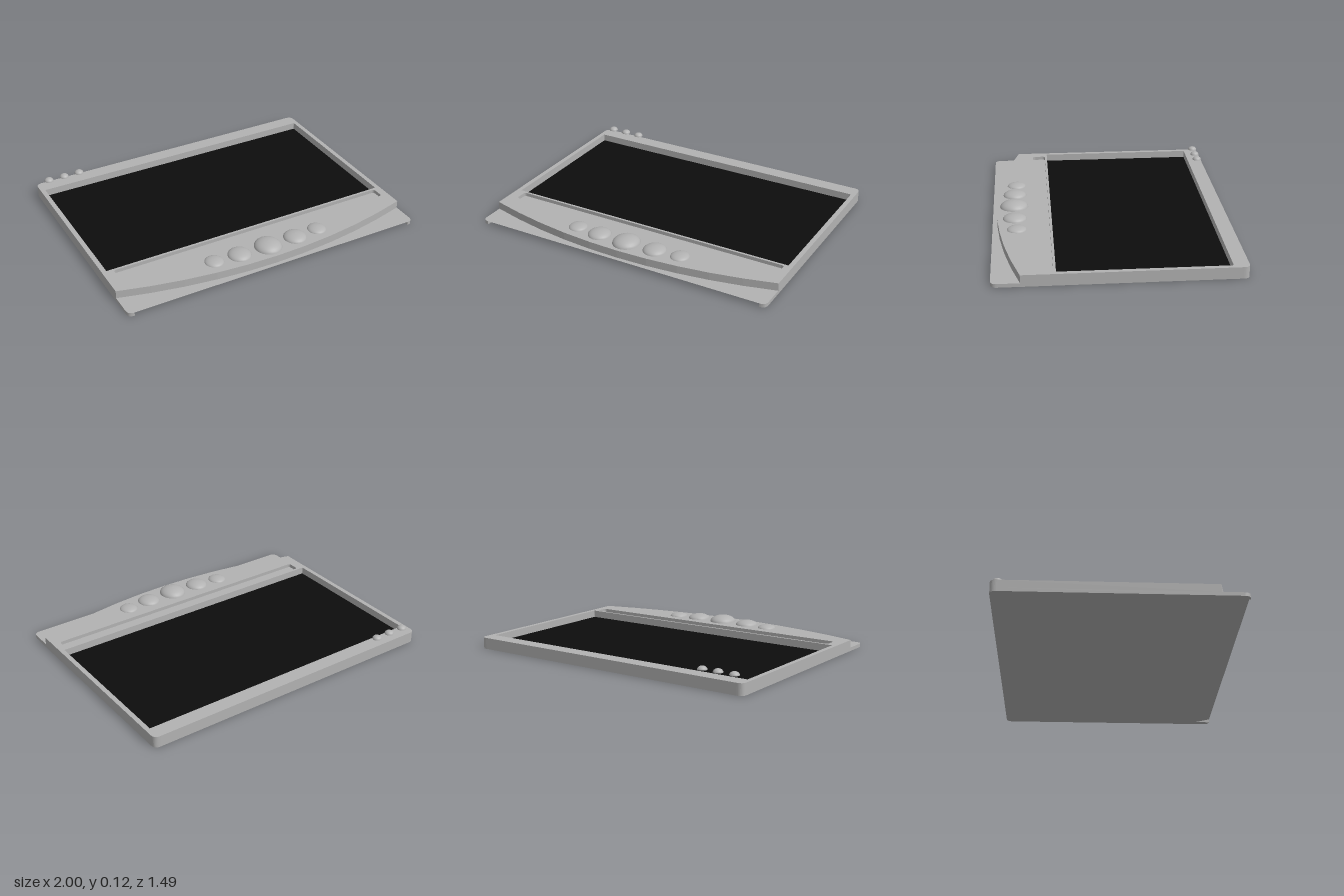
import * as THREE from 'three';

const grey = new THREE.MeshStandardMaterial({ color: 0xb2b2b2 });
grey.name = 'casing grey';
const black = new THREE.MeshStandardMaterial({ color: 0x0d0d0d });
black.name = 'screen black';

// Plan shapes use shape y = -z, and are extruded upwards from y0 to y1.
function slab(name, shape, y0, y1, material) {
  const geometry = new THREE.ExtrudeGeometry(shape, { depth: y1 - y0, bevelEnabled: false, curveSegments: 10 });
  geometry.rotateX(-Math.PI / 2);
  const mesh = new THREE.Mesh(geometry, material);
  mesh.name = name;
  mesh.position.y = y0;
  return mesh;
}

function roundedRect(path, x0, x1, z0, z1, r) {
  path.moveTo(x0 + r, -z1);
  path.lineTo(x1 - r, -z1);
  path.quadraticCurveTo(x1, -z1, x1, -z1 + r);
  path.lineTo(x1, -z0 - r);
  path.quadraticCurveTo(x1, -z0, x1 - r, -z0);
  path.lineTo(x0 + r, -z0);
  path.quadraticCurveTo(x0, -z0, x0, -z0 - r);
  path.lineTo(x0, -z1 + r);
  path.quadraticCurveTo(x0, -z1, x0 + r, -z1);
  return path;
}

// Closed dome: an elliptical cap of the given height on a flat base
function dome(name, x, y, z, rx, rz, height, segments) {
  const profile = [new THREE.Vector2(0, 0)];
  for (let i = 0; i <= 8; i++) {
    const a = (i / 8) * Math.PI / 2;
    profile.push(new THREE.Vector2(i === 8 ? 0 : Math.cos(a), Math.sin(a)));
  }
  // The base is a separate disc, so the cap keeps smooth normals
  const cap = new THREE.Mesh(new THREE.LatheGeometry(profile.slice(1), segments), grey);
  const base = new THREE.Mesh(new THREE.CircleGeometry(1, segments), grey);
  base.rotation.x = Math.PI / 2;
  cap.name = name + 'Cap';
  base.name = name + 'Base';
  const group = new THREE.Group();
  group.name = name;
  group.add(cap, base);
  group.position.set(x, y, z);
  group.scale.set(rx, height, rz);
  return group;
}

export function createModel() {
  const model = new THREE.Group();
  model.name = 'tabletDevice';
  const R = 0.04, X = 1, BACK = -0.745, FRONT = 0.745, LIP = 0.023, TOP = 0.073;

  // Base plate, notched along the front for the undercut lip
  const plan = new THREE.Shape();
  plan.moveTo(-X + R, -0.64);
  plan.lineTo(X - R, -0.64);
  plan.lineTo(X - R, -FRONT);
  plan.quadraticCurveTo(X, -FRONT, X, -FRONT + R);
  plan.lineTo(X, -BACK - R);
  plan.quadraticCurveTo(X, -BACK, X - R, -BACK);
  plan.lineTo(-X + R, -BACK);
  plan.quadraticCurveTo(-X, -BACK, -X, -BACK - R);
  plan.lineTo(-X, -FRONT + R);
  plan.quadraticCurveTo(-X, -FRONT, -X + R, -FRONT);
  model.add(slab('basePlate', plan, 0, LIP, grey));

  // Front lip, a wedge sloping back underneath
  const wedge = new THREE.Shape();
  wedge.moveTo(-0.64, 0);
  wedge.lineTo(-0.64, LIP);
  wedge.lineTo(-FRONT, LIP);
  const lipGeometry = new THREE.ExtrudeGeometry(wedge, { depth: 2 * (X - R), bevelEnabled: false });
  lipGeometry.translate(0, 0, -(X - R)).rotateY(Math.PI / 2);
  const lip = new THREE.Mesh(lipGeometry, grey);
  lip.name = 'frontLip';
  model.add(lip);

  // Upper casing with a bowed front, a screen opening and a long slot
  const casing = new THREE.Shape();
  casing.moveTo(-X, -0.575);
  casing.quadraticCurveTo(0, -0.865, X, -0.575);
  casing.lineTo(X, -BACK - R);
  casing.quadraticCurveTo(X, -BACK, X - R, -BACK);
  casing.lineTo(-X + R, -BACK);
  casing.quadraticCurveTo(-X, -BACK, -X, -BACK - R);
  casing.closePath();
  casing.holes.push(roundedRect(new THREE.Path(), -0.97, 0.97, -0.65, 0.37, 0.002));
  casing.holes.push(roundedRect(new THREE.Path(), -0.93, 0.95, 0.385, 0.47, 0.02));
  model.add(slab('upperCasing', casing, LIP, TOP, grey));

  // Recessed screen and slot floor
  model.add(slab('screen', roundedRect(new THREE.Shape(), -0.97, 0.97, -0.65, 0.37, 0.002), LIP - 0.004, LIP + 0.003, black));
  model.add(slab('slotFloor', roundedRect(new THREE.Shape(), -0.93, 0.95, 0.385, 0.47, 0.02), LIP, 0.05, grey));

  // Control buttons, shrinking outwards from the centre
  model.add(dome('centreButton', 0, TOP - 0.003, 0.607, 0.087, 0.092, 0.046, 28));
  for (const side of [-1, 1]) {
    const tag = side > 0 ? 'left' : 'right';
    model.add(dome(tag + 'InnerButton', side * 0.197, TOP - 0.003, 0.602, 0.074, 0.077, 0.034, 28));
    model.add(dome(tag + 'OuterButton', side * 0.364, TOP - 0.003, 0.59, 0.06, 0.063, 0.024, 28));
  }

  // Small raised indicator studs at the back corner
  [-0.92, -0.812, -0.706].forEach((x, i) =>
    model.add(dome('indicatorStud' + (i + 1), x, 0.102, -0.705, 0.03, 0.03, 0.022, 20)));

  return model;
}
